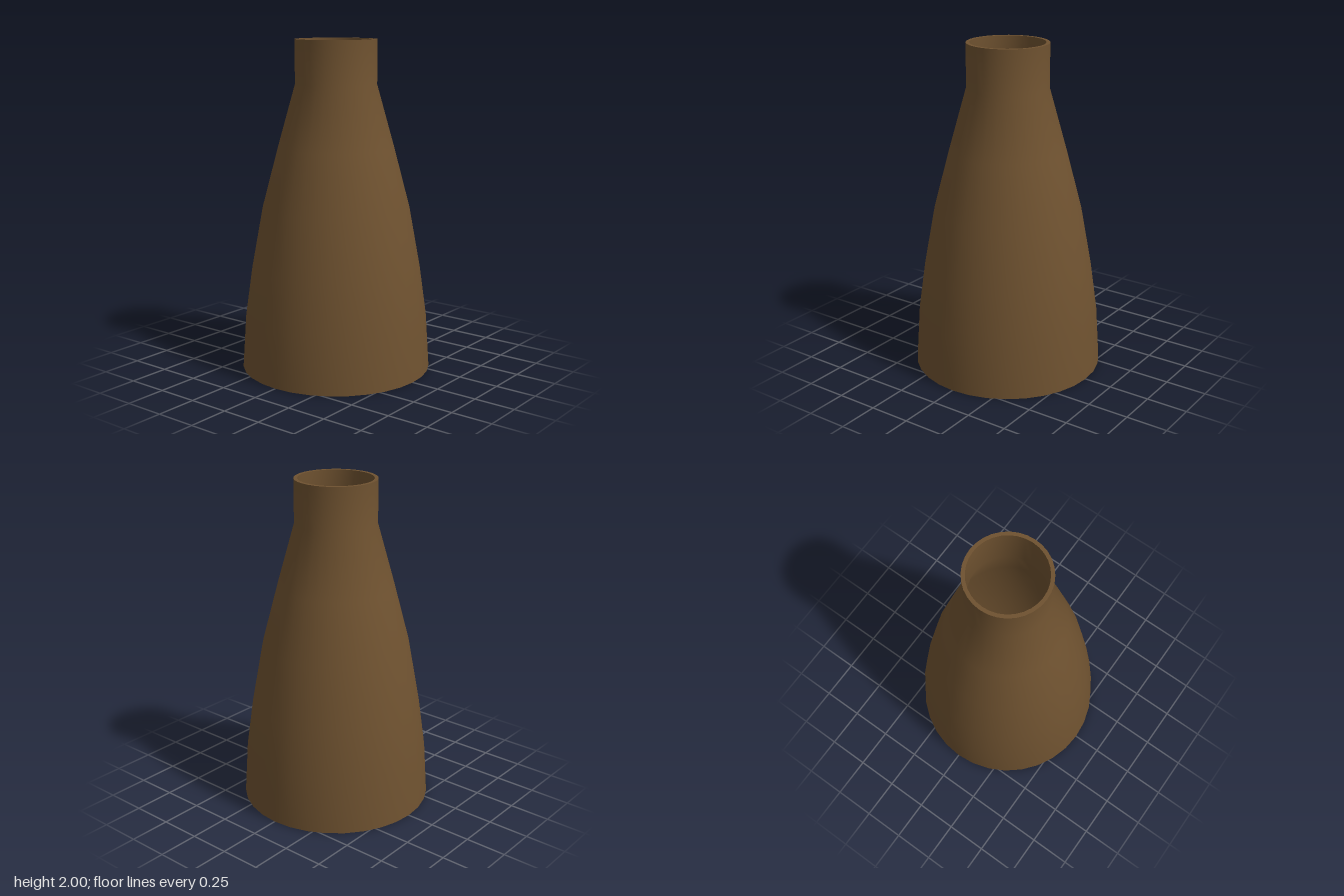
import * as THREE from 'three';
import { toCreasedNormals } from 'three/addons/utils/BufferGeometryUtils.js';

const SIDES = 32;
const WALL = 0.022;

// Outer silhouette as [radius, height], from the foot to the lip
const OUTER = [
  [0.577, 0], [0.555, 0.33], [0.513, 0.63], [0.445, 1.0],
  [0.35, 1.36], [0.245, 1.735], [0.245, 2],
];

export function createModel() {
  const group = new THREE.Group();
  group.name = 'bottle';

  // Inner wall follows the outer one at a constant thickness, down to the floor
  const inner = OUTER.map(([r, y]) => [r - WALL, Math.max(y, WALL)]).reverse();
  const profile = [[0, 0], ...OUTER, ...inner, [0, WALL]]
    .map(([r, y]) => new THREE.Vector2(r, y));

  // Hollow flask: base, tapering body, straight neck, open lip and inside
  const geometry = toCreasedNormals(new THREE.LatheGeometry(profile, SIDES), Math.PI / 6);
  const flask = new THREE.Mesh(geometry, new THREE.MeshStandardMaterial({ color: 0x6f5230 }));
  flask.name = 'hollowFlask';
  group.add(flask);

  return group;
}
